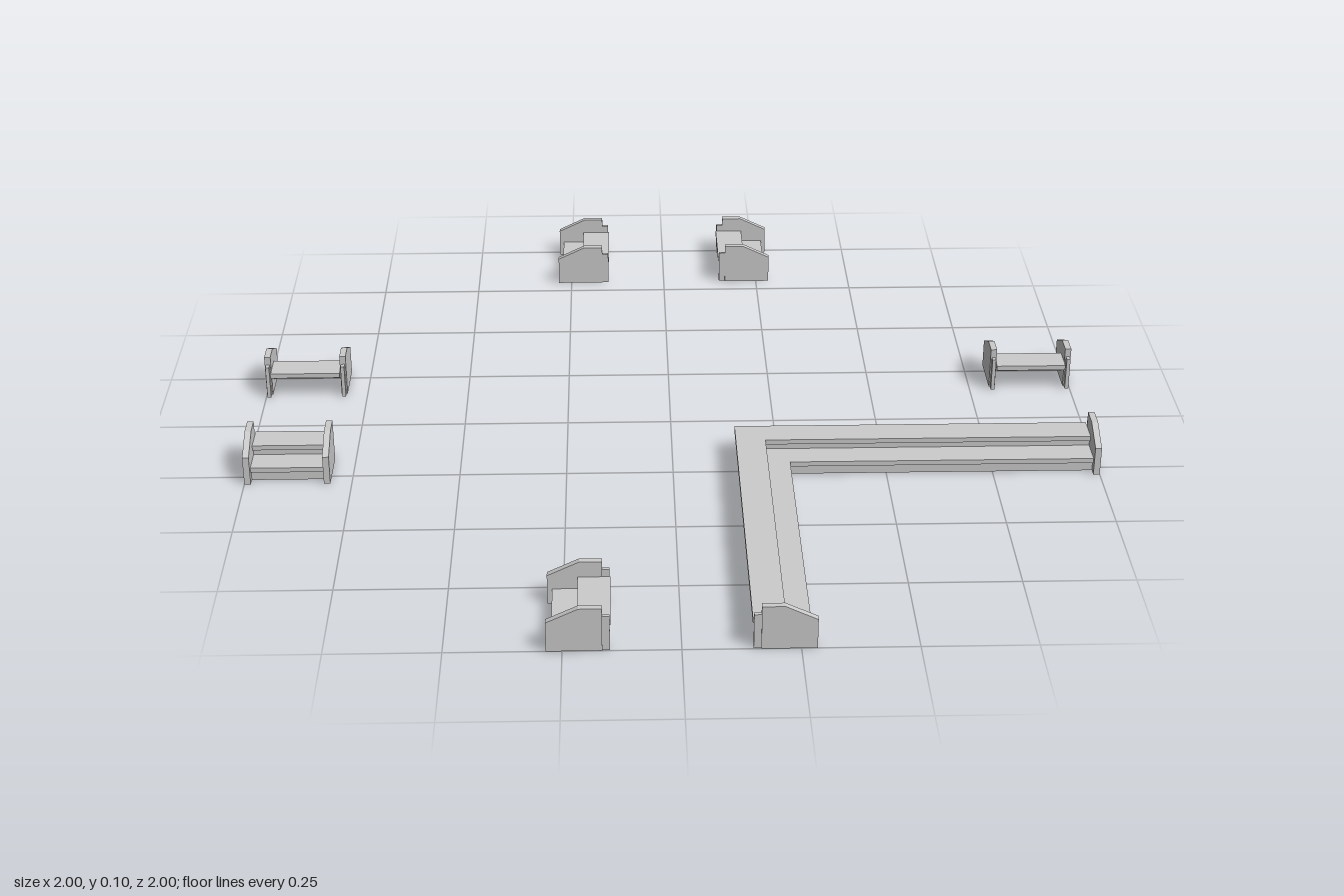
import * as THREE from 'three';

const grey = new THREE.MeshStandardMaterial({ color: 0xcccccc, flatShading: true });

// depth (distance from the centre line) and height of the steps
const BACK = 0.148, MID = 0.218, FRONT = 0.273, TOP = 0.066, LOW = 0.037, SLAB = 0.012;
const THICK = 0.015, RISER = 0.006, NOSE = 0.01;

function add(group, name, geometry) {
  const mesh = new THREE.Mesh(geometry, grey);
  mesh.name = name;
  group.add(mesh);
}

// board along x; side -1 or +1 mitres its low or high x end at 45 degrees
function board(x0, x1, y0, y1, z0, z1, side) {
  const g = new THREE.BoxGeometry(x1 - x0, y1 - y0, z1 - z0);
  g.translate((x0 + x1) / 2, (y0 + y1) / 2, (z0 + z1) / 2);
  const p = g.attributes.position;
  const end = side < 0 ? x0 : x1;
  for (let i = 0; side && i < p.count; i++) {
    if (Math.abs(p.getX(i) - end) < 1e-5) p.setX(i, -side * p.getZ(i));
  }
  g.computeVertexNormals();
  return g;
}

// panel in the depth/height plane, from x to x + t
function panel(points, x, t) {
  const shape = new THREE.Shape(points.map(([z, y]) => new THREE.Vector2(z, y)));
  const g = new THREE.ExtrudeGeometry(shape, { depth: t, bevelEnabled: false });
  g.rotateY(-Math.PI / 2);
  g.translate(x + t, 0, 0);
  return g;
}

// sloped side plate with its lower back tab
function endPlate(group, x) {
  add(group, 'endPlate', panel(
    [[0.166, 0], [0.284, 0], [0.284, 0.07], [0.215, 0.103], [0.166, 0.103]], x, THICK));
  add(group, 'plateTab', panel(
    [[0.15, 0], [0.166, 0], [0.166, 0.082], [0.15, 0.082]], x + 0.003, THICK - 0.006));
}

// two-step run along local x, facing local +z
function stepRun(name, x0, x1, side = 0) {
  const run = new THREE.Group();
  run.name = name;
  const a = side < 0 ? x0 : x0 + THICK;
  const b = side > 0 ? x1 : x1 - THICK;
  const upper = MID - NOSE, lower = FRONT - NOSE;
  add(run, 'upperTread', board(a, b, TOP - SLAB, TOP, BACK, MID, side));
  add(run, 'lowerTread', board(a, b, LOW - SLAB, LOW, upper - RISER, FRONT, side));
  add(run, 'upperRiser', board(a, b, LOW, TOP - SLAB, upper - RISER, upper, side));
  add(run, 'lowerRiser', board(a, b, 0, LOW - SLAB, lower - RISER, lower, side));
  if (side >= 0) endPlate(run, x0);
  if (side <= 0) endPlate(run, x1 - THICK);
  return run;
}

export function createModel() {
  const model = new THREE.Group();
  model.name = 'stepSections';
  const place = (run, quarter) => {
    run.rotation.y = quarter * Math.PI / 2;
    model.add(run);
  };

  // long L-shaped corner, made of two mitred runs
  place(stepRun('cornerArmFront', BACK, 1, -1), 0);
  place(stepRun('cornerArmLeft', -1, -BACK, 1), 1);

  // short sections around the other ends: quarter turn, centre along the run
  for (const [quarter, c] of [[0, -0.9], [1, 0.9], [2, -0.9], [2, 0.9], [3, -0.9], [3, 0.9]]) {
    place(stepRun('shortSteps', c - 0.1, c + 0.1), quarter);
  }
  return model;
}
